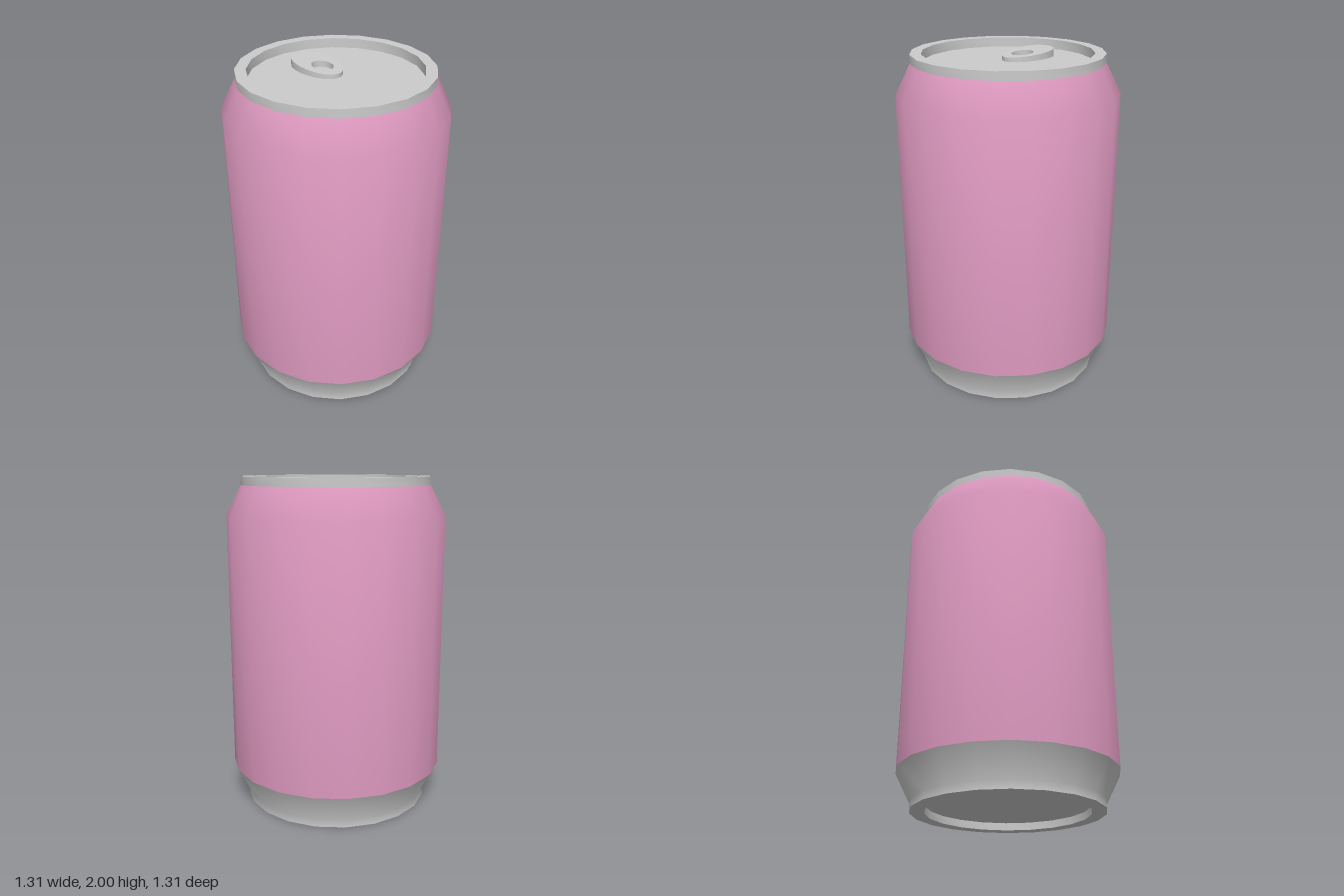
import * as THREE from 'three';
import { toCreasedNormals } from 'three/addons/utils/BufferGeometryUtils.js';

const SIDES = 20;
const FLOOR = 1.943; // height of the recessed lid

const metal = new THREE.MeshStandardMaterial({ color: 0xcccccc });
const paint = new THREE.MeshStandardMaterial({ color: 0xdc98be });

// Turned part; profile runs from the bottom up, as [radius, height]
function turned(name, profile, material) {
  const points = profile.map(([r, y]) => new THREE.Vector2(r, y));
  const geometry = toCreasedNormals(new THREE.LatheGeometry(points, SIDES), 0.65);
  const mesh = new THREE.Mesh(geometry, material);
  mesh.name = name;
  return mesh;
}

// Egg-shaped pull tab with a finger hole, rising towards the back
function pullTab() {
  const shape = new THREE.Shape();
  shape.moveTo(0, -0.017);
  shape.bezierCurveTo(0.07, -0.017, 0.115, 0.09, 0.115, 0.19);
  shape.bezierCurveTo(0.115, 0.29, 0.075, 0.355, 0, 0.355);
  shape.bezierCurveTo(-0.075, 0.355, -0.115, 0.29, -0.115, 0.19);
  shape.bezierCurveTo(-0.115, 0.09, -0.07, -0.017, 0, -0.017);
  const hole = new THREE.Path();
  hole.absellipse(0, 0.125, 0.06, 0.073, 0, Math.PI * 2, true);
  shape.holes.push(hole);

  const geometry = new THREE.ExtrudeGeometry(shape, { depth: 0.025, bevelEnabled: false, curveSegments: 6 });
  geometry.rotateX(-Math.PI / 2);
  const pos = geometry.attributes.position;
  for (let i = 0; i < pos.count; i++) {
    const back = (0.017 - pos.getZ(i)) / 0.372;
    if (pos.getY(i) > 0.01) pos.setY(i, 0.025 + 0.022 * back);
  }
  const mesh = new THREE.Mesh(toCreasedNormals(geometry, 0.65), metal);
  mesh.name = 'pullTab';
  mesh.position.y = FLOOR;
  return mesh;
}

export function createModel() {
  const can = new THREE.Group();
  can.name = 'drinkCan';
  can.add(
    // hollow underside, foot ring and lower taper
    turned('base', [[0, 0.045], [0.48, 0.045], [0.48, 0], [0.565, 0], [0.565, 0.05], [0.655, 0.225]], metal),
    // painted wall and shoulder
    turned('body', [[0.655, 0.225], [0.655, 1.775], [0.565, 1.95]], paint),
    // rim and recessed lid
    turned('lid', [[0.565, 1.95], [0.565, 2], [0.5, 2], [0.5, FLOOR], [0, FLOOR]], metal),
    pullTab()
  );
  return can;
}
